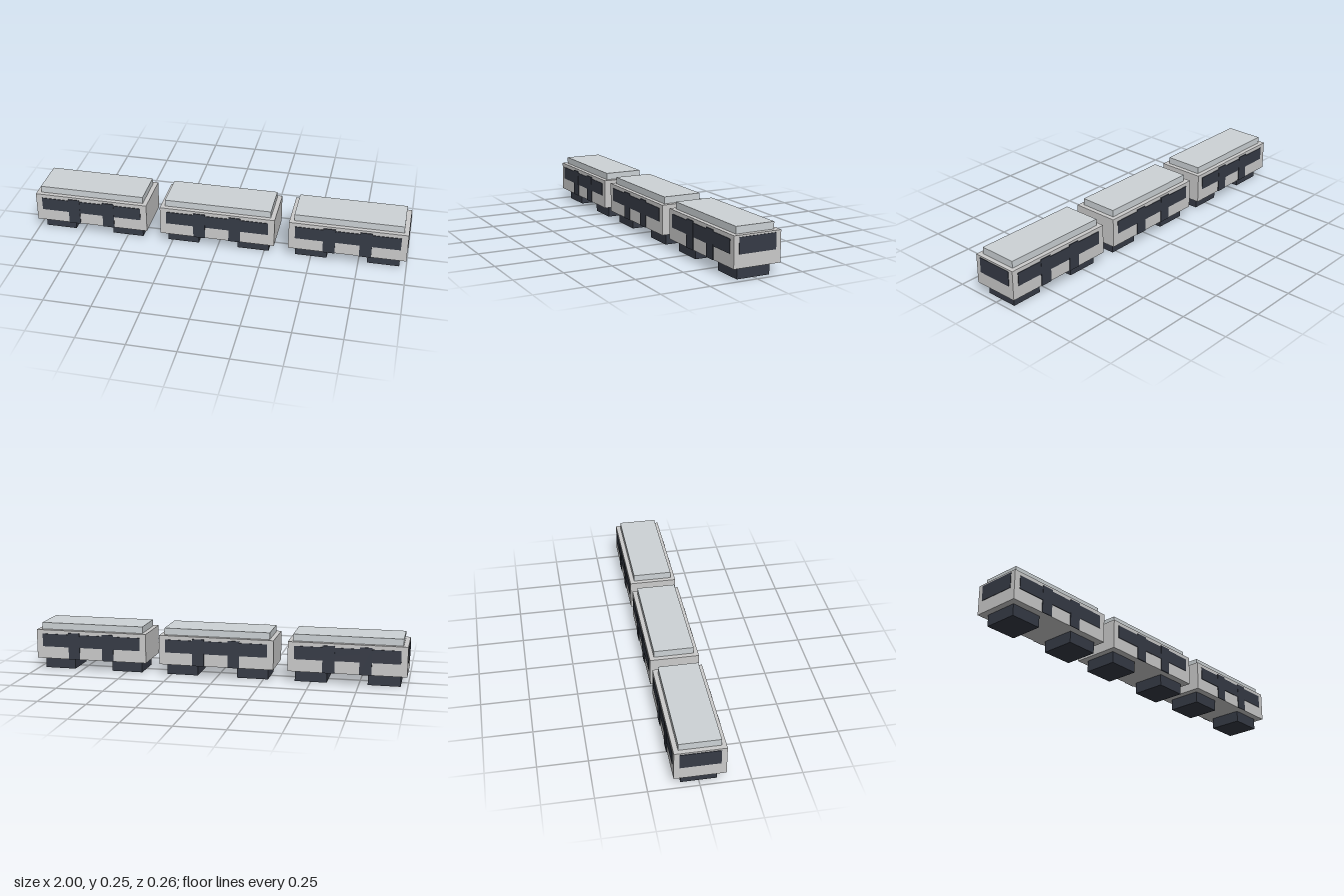
import * as THREE from 'three';

const grey = new THREE.MeshStandardMaterial({ color: 0xcccccc });
const roofGrey = new THREE.MeshStandardMaterial({ color: 0xcdd3d6 });
const dark = new THREE.MeshStandardMaterial({ color: 0x363b46 });

// Box given by its size, its bottom height and its centre in x and z
function addBox(parent, name, material, [w, h, d], x, bottom, z = 0) {
  const mesh = new THREE.Mesh(new THREE.BoxGeometry(w, h, d), material);
  mesh.name = name;
  mesh.position.set(x, bottom + h / 2, z);
  parent.add(mesh);
}

function createCar(name) {
  const car = new THREE.Group();
  car.name = name;
  addBox(car, 'body', grey, [0.615, 0.157, 0.253], 0, 0.061);
  addBox(car, 'roof', roofGrey, [0.567, 0.036, 0.206], 0, 0.218);

  for (const s of [-1, 1]) {
    addBox(car, 'bogie', dark, [0.168, 0.062, 0.177], s * 0.19, 0);

    // Window band and two doors on each long side
    addBox(car, 'windowBand', dark, [0.548, 0.07, 0.006], 0, 0.127, s * 0.1265);
    for (const x of [-0.095, 0.095]) {
      addBox(car, 'door', dark, [0.063, 0.145, 0.008], x, 0.061, s * 0.1265);
    }
  }
  return car;
}

export function createModel() {
  const train = new THREE.Group();
  train.name = 'train';
  const names = ['rightCar', 'middleCar', 'leftCar'];
  names.forEach((name, i) => {
    const car = createCar(name);
    car.position.x = (i - 1) * 0.69;
    // Windscreen on the outer end of the two end cars
    if (i !== 1) addBox(car, 'windscreen', dark, [0.006, 0.081, 0.199], (i - 1) * 0.307, 0.128);
    train.add(car);
  });
  return train;
}
